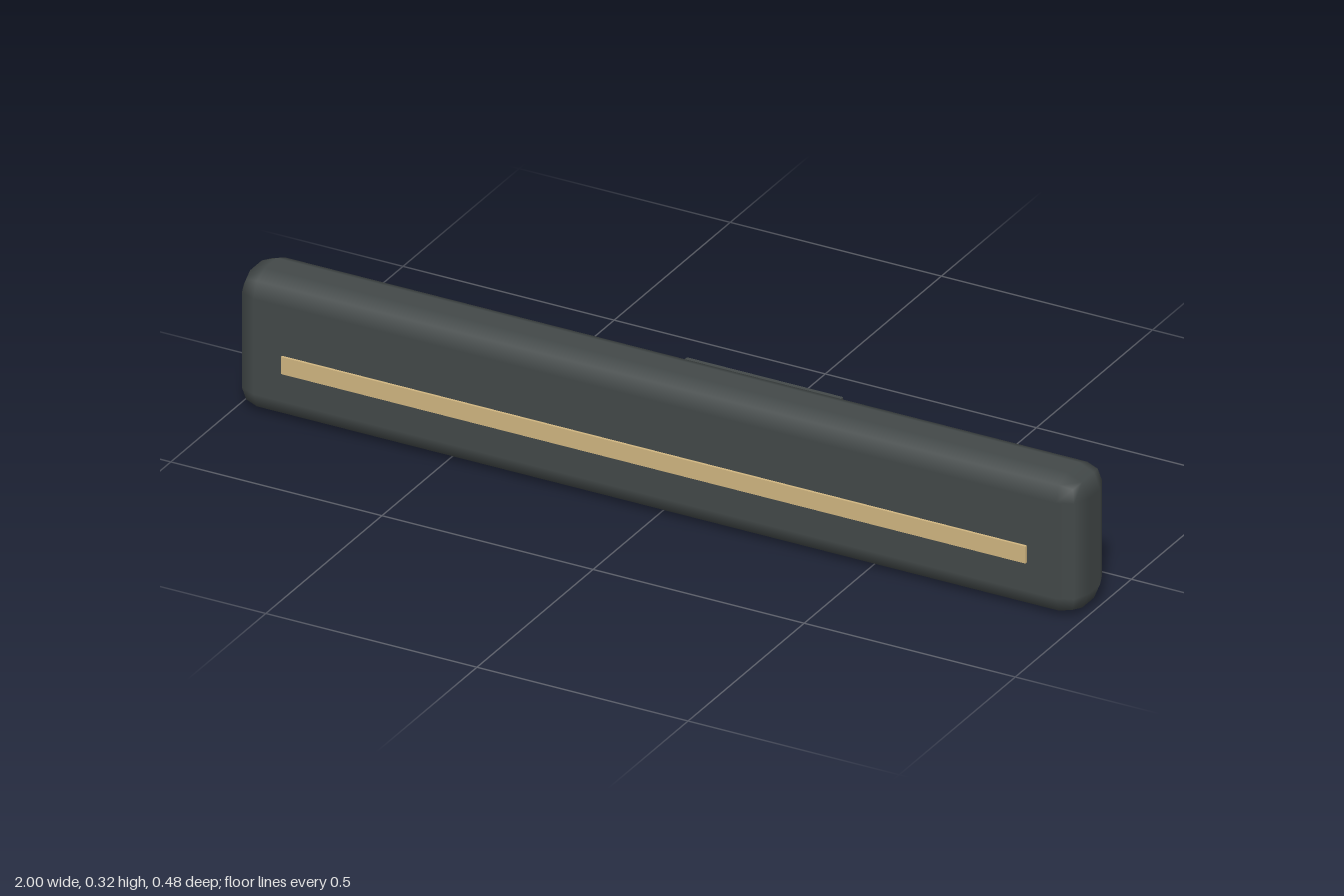
import * as THREE from 'three';
import { RoundedBoxGeometry } from 'three/addons/geometries/RoundedBoxGeometry.js';

export function createModel() {
  const group = new THREE.Group();
  const charcoal = new THREE.MeshStandardMaterial({ color: 0x434949 });
  charcoal.name = 'charcoal';
  const brass = new THREE.MeshStandardMaterial({ color: 0xd0b580 });
  brass.name = 'brass';

  const add = (name, geometry, material, x, y, z) => {
    const mesh = new THREE.Mesh(geometry, material);
    mesh.name = name;
    mesh.position.set(x, y, z);
    group.add(mesh);
  };

  // Long bar with a one-segment rounded edge
  add('bar', new RoundedBoxGeometry(2, 0.323, 0.15, 1, 0.05), charcoal, 0, 0.1615, 0.16);

  // Mounting block, running from the back into the middle of the bar
  add('mount', new THREE.BoxGeometry(0.37, 0.111, 0.401), charcoal, 0, 0.0555, -0.0405);

  // Thin inlaid strip on the front face
  add('strip', new THREE.BoxGeometry(1.764, 0.04, 0.009), brass, 0, 0.137, 0.2365);

  return group;
}
